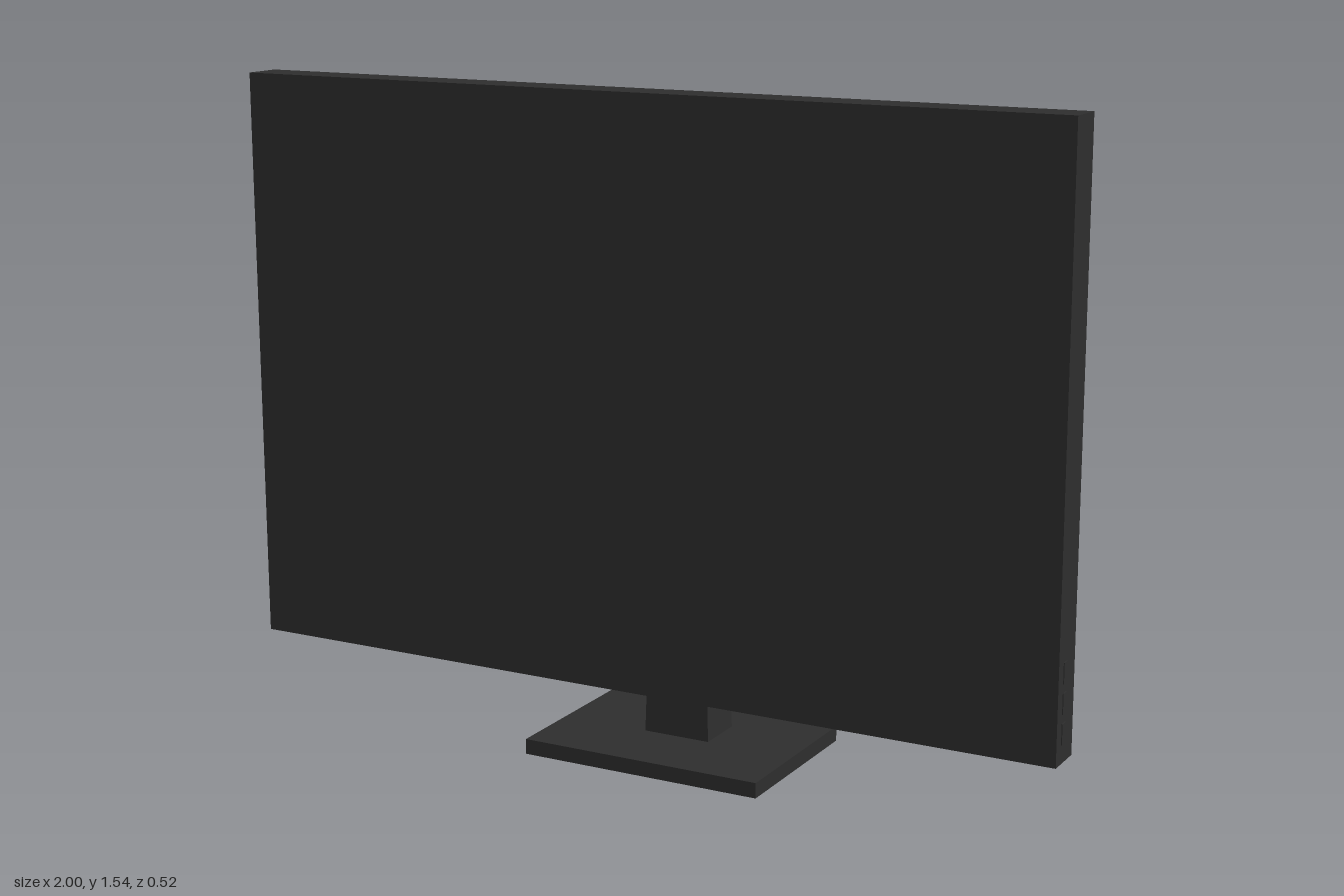
import * as THREE from 'three';

export function createModel() {
  const group = new THREE.Group();
  const charcoal = new THREE.MeshStandardMaterial({ color: 0x2e2e2e });
  charcoal.name = 'charcoal plastic';

  const add = (name, geometry) => {
    const mesh = new THREE.Mesh(geometry, charcoal);
    mesh.name = name;
    group.add(mesh);
    return mesh;
  };
  // Box given by its lower and upper limits on each axis
  const box = (name, [x0, x1], [y0, y1], [z0, z1]) =>
    add(name, new THREE.BoxGeometry(x1 - x0, y1 - y0, z1 - z0))
      .position.set((x0 + x1) / 2, (y0 + y1) / 2, (z0 + z1) / 2);

  // Display panel
  box('screenPanel', [-0.999, 0.999], [0.205, 1.54], [0.167, 0.26]);

  // Side buttons
  for (let i = 0; i < 3; i++) {
    const y = 0.247 + i * 0.066;
    box('sideButton' + (i + 1), [0.995, 1.001], [y, y + 0.046], [0.215, 0.233]);
  }

  // Arm joining panel and column
  box('mountArm', [-0.055, 0.055], [0.63, 0.73], [0, 0.168]);

  // Column: a box that narrows to the top
  const column = new THREE.BoxGeometry(1, 1, 1);
  const p = column.attributes.position;
  for (let i = 0; i < p.count; i++) {
    const top = p.getY(i) > 0;
    p.setXYZ(
      i,
      p.getX(i) * (top ? 0.114 : 0.165),
      top ? 0.965 : 0.034,
      p.getZ(i) * (top ? 0.082 : 0.12) - 0.0115
    );
  }
  column.computeVertexNormals();
  add('standColumn', column);

  // Base plate with cut rear corners, drawn in x and -z
  const outline = new THREE.Shape(
    [[-0.297, -0.23], [0.297, -0.23], [0.297, 0.19], [0.172, 0.26], [-0.172, 0.26], [-0.297, 0.19]]
      .map(([x, y]) => new THREE.Vector2(x, y))
  );
  const base = new THREE.ExtrudeGeometry(outline, { depth: 0.036, bevelEnabled: false });
  base.rotateX(-Math.PI / 2);
  add('basePlate', base);

  return group;
}
